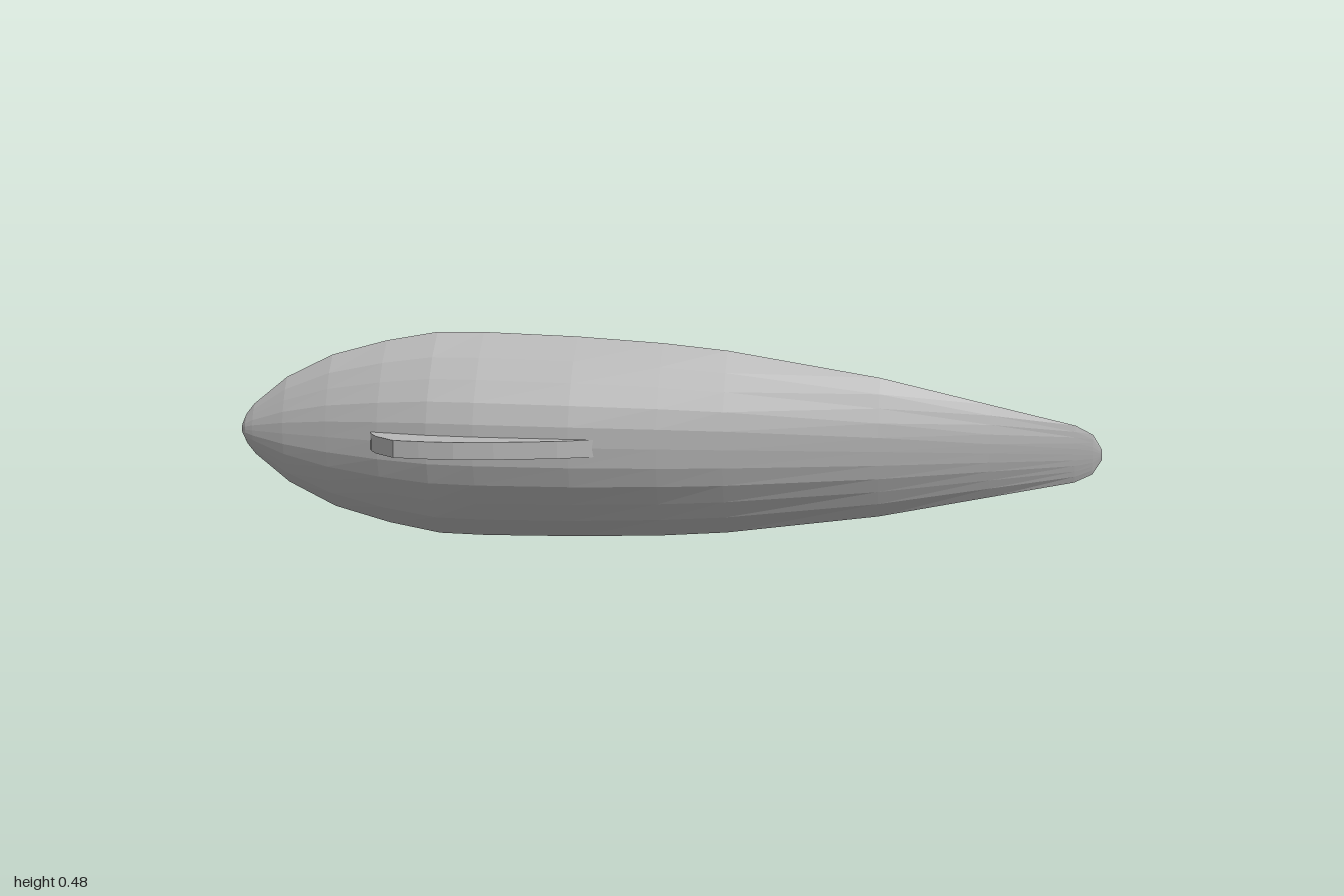
import * as THREE from 'three';

const MID = 0.24; // height of the long axis

// Stations along the hull: x, half height, rim z, front z, back z, recess behind the rim
const STATIONS = [
  [-1, 0.012, -0.07, -0.062, -0.073, 0],
  [-0.99, 0.035, -0.07, -0.052, -0.08, 0],
  [-0.97, 0.06, -0.07, -0.043, -0.09, 0],
  [-0.89, 0.125, -0.07, -0.014, -0.11, 0],
  [-0.78, 0.18, -0.07, 0.017, -0.127, 0.004],
  [-0.65, 0.216, -0.071, 0.051, -0.143, 0.011],
  [-0.53, 0.238, -0.072, 0.073, -0.153, 0.015],
  [-0.42, 0.24, -0.071, 0.081, -0.153, 0.015],
  [-0.2, 0.235, -0.064, 0.081, -0.141, 0.012],
  [0, 0.225, -0.054, 0.07, -0.12, 0.004],
  [0.15, 0.212, -0.046, 0.059, -0.1, 0],
  [0.5, 0.16, -0.025, 0.032, -0.054, 0],
  [0.75, 0.106, -0.012, 0.015, -0.024, 0],
  [0.94, 0.065, -0.003, 0.005, -0.007, 0],
  [0.98, 0.045, -0.001, 0.003, -0.003, 0],
  [1, 0.012, 0, 0.001, -0.001, 0],
];

// Half profiles from rim to middle: share of half height, share of depth
const FRONT = [[1, 0], [0.79, 0.43], [0.6, 0.66], [0.4, 0.87], [0.2, 0.98], [0, 1]];
const BACK = [[0, 1], [0.2, 0.89], [0.41, 0.5], [0.6, 0], [0.81, 0]];

// One closed ring: over the front from top rim to bottom rim, then up the back
function ring([x, h, rim, front, back, recess]) {
  const pts = [];
  const add = (u, z) => pts.push([x, MID + u * h, z]);
  const frontAt = (f) => rim + f * (front - rim);
  const backAt = ([u, b]) => rim + b * (back - rim) + (u === 0.81 ? recess : 0);
  FRONT.forEach(([u, f]) => add(u, frontAt(f)));
  FRONT.slice(0, -1).reverse().forEach(([u, f]) => add(-u, frontAt(f)));
  BACK.slice(1).reverse().forEach((p) => add(-p[0], backAt(p)));
  BACK.forEach((p) => add(p[0], backAt(p)));
  return pts;
}

// Skin the rings and close both ends
function loft(rings) {
  const n = rings[0].length;
  const pos = rings.flat(2);
  const idx = [];
  for (let i = 0; i < rings.length - 1; i++) {
    for (let j = 0; j < n; j++) {
      const k = (j + 1) % n;
      const a = i * n + j, b = i * n + k, c = a + n, d = b + n;
      idx.push(a, b, c, b, d, c);
    }
  }
  [0, rings.length - 1].forEach((r) => {
    const centre = pos.length / 3;
    const [x, , , front, back] = STATIONS[r];
    pos.push(x, MID, (front + back) / 2);
    for (let j = 0; j < n; j++) {
      const a = r * n + j, b = r * n + ((j + 1) % n);
      if (r === 0) idx.push(centre, b, a);
      else idx.push(centre, a, b);
    }
  });
  const geo = new THREE.BufferGeometry();
  geo.setAttribute('position', new THREE.Float32BufferAttribute(pos, 3));
  geo.setIndex(idx);
  const flat = geo.toNonIndexed();
  flat.computeVertexNormals();
  return flat;
}

export function createModel() {
  const group = new THREE.Group();
  group.name = 'slenderHull';
  const grey = new THREE.MeshStandardMaterial({ color: 0xb8b8b8, flatShading: true });
  grey.name = 'plain grey';

  const hull = new THREE.Mesh(loft(STATIONS.map(ring)), grey);
  hull.name = 'hull';
  group.add(hull);

  // Raised fin on the front, drawn in x and z, extruded through its height
  const outline = [[-0.67, 0.03], [-0.66, 0.065], [-0.64, 0.1], [-0.59, 0.145], [-0.53, 0.152],
    [-0.45, 0.153], [-0.36, 0.14], [-0.22, 0.108], [-0.14, 0.076], [-0.3, 0.03]];
  const shape = new THREE.Shape(outline.map(([x, z]) => new THREE.Vector2(x, z)));
  const finGeo = new THREE.ExtrudeGeometry(shape, { depth: 0.04, bevelEnabled: false });
  finGeo.rotateX(Math.PI / 2).translate(0, MID + 0.02, 0);
  const fin = new THREE.Mesh(finGeo, grey);
  fin.name = 'fin';
  group.add(fin);

  return group;
}
